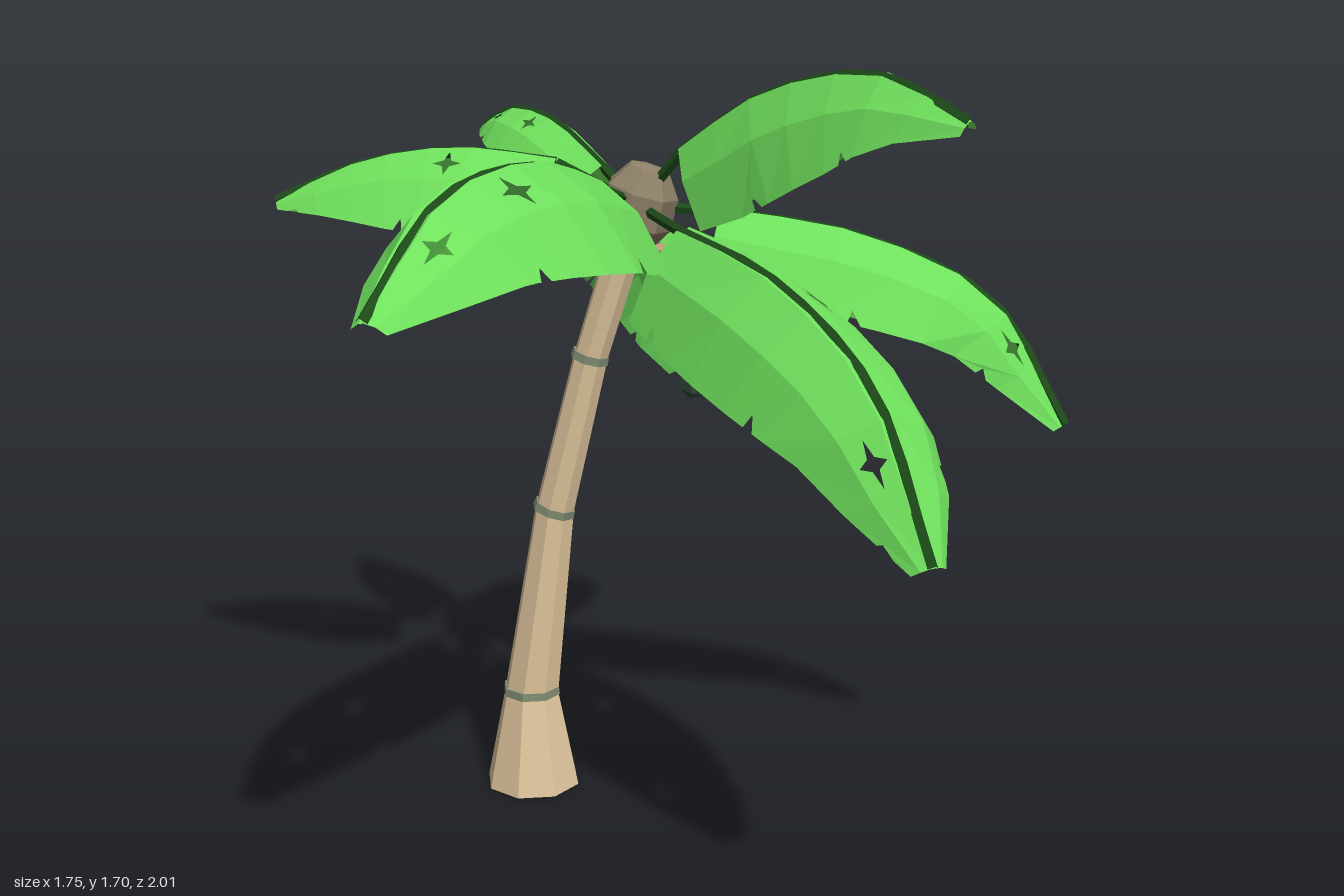
import * as THREE from 'three';
import { mergeGeometries } from 'three/addons/utils/BufferGeometryUtils.js';

const mat = (color, side = THREE.FrontSide) =>
  new THREE.MeshStandardMaterial({ color, side, flatShading: true });
const bark = mat(0xdfc59c), ringMat = mat(0x7d8a70), crownMat = mat(0x8f8168);
const leafMat = mat(0x6fe05c, THREE.DoubleSide), ribMat = mat(0x1c4a18);
const nutMat = mat(0x30453a), stemMat = mat(0xb8967a);
const V = (x, y, z) => new THREE.Vector3(x, y, z);
const UP = V(0, 1, 0);
const CROWN = V(-0.05, 1.385, -0.17);

function addMesh(parent, name, geometry, material) {
  const m = new THREE.Mesh(geometry, material);
  m.name = name;
  parent.add(m);
  return m;
}

// Leaning trunk: [height, centre x, radius]
const TRUNK = [[0, -0.31, 0.112], [0.23, -0.31, 0.065], [0.68, -0.248, 0.046], [1.04, -0.16, 0.04], [1.36, -0.06, 0.042]];

function trunkGeometry() {
  const profile = [new THREE.Vector2(0, 0), ...TRUNK.map(([y, , r]) => new THREE.Vector2(r, y)), new THREE.Vector2(0, 1.36)];
  const g = new THREE.LatheGeometry(profile, 8);
  const p = g.attributes.position;
  for (let i = 0; i < p.count; i++) {
    const row = TRUNK.find(([y]) => Math.abs(y - p.getY(i)) < 1e-4);
    p.setX(i, p.getX(i) + row[1]);
    p.setZ(i, p.getZ(i) + CROWN.z);
  }
  g.computeVertexNormals();
  return g;
}

// Shape of one blade panel in unit coordinates, with an optional edge tear or star hole
function panelShape(tear, hole) {
  const pts = [[0, 0]];
  if (tear === 'low') pts.push([0.5, 0], [0.52, 0.25], [0.75, 0]);
  pts.push([1, 0], [1, 1]);
  if (tear === 'high') pts.push([0.75, 1], [0.52, 0.75], [0.5, 1]);
  pts.push([0, 1]);
  const shape = new THREE.Shape(pts.map(([x, y]) => new THREE.Vector2(x, y)));
  if (hole) {
    const star = [];
    for (let k = 0; k < 8; k++) {
      const r = k % 2 ? 0.13 : 0.36, a = -k * Math.PI / 4;
      star.push(new THREE.Vector2(0.5 + r * Math.cos(a), 0.5 + r * Math.sin(a)));
    }
    shape.holes.push(new THREE.Path(star));
  }
  return shape;
}

// Blade outline along its length, and its section: vaulted, with the rib in a shallow groove
const WIDTH = [0.78, 0.92, 1, 1, 0.94, 0.82, 0.6, 0.2];
const DROP = [0.85, 0.98, 1, 0.95, 0.85, 0.68, 0.42, 0.12];
const ACROSS = [[-1, 1], [-0.62, 0.34], [-0.12, -0.05], [0, 0], [0.12, -0.05], [0.62, 0.34], [1, 1]];

function bladeGeometry(curve, { half, drop, roll }, seed) {
  const rows = WIDTH.map((w, i) => {
    const t = i / (WIDTH.length - 1);
    const c = curve.getPointAt(t), T = curve.getTangentAt(t);
    const side = UP.clone().cross(T).normalize().applyAxisAngle(T, roll);
    const normal = T.clone().cross(side);
    return ACROSS.map(([s, d]) => c.clone().addScaledVector(side, s * w * half).addScaledVector(normal, -d * DROP[i] * drop));
  });
  const panels = [];
  for (let i = 0; i < rows.length - 1; i++) {
    for (let j = 0; j < 6; j++) {
      const torn = (i + (j ? 1 : 0) + seed) % 3 === 0;
      const tear = torn && j === 0 ? 'low' : torn && j === 5 ? 'high' : '';
      const hole = (i === 2 + seed % 2 && j === 4) || (i === 5 && j === (seed % 2 ? 4 : 1));
      const g = new THREE.ShapeGeometry(panelShape(tear, hole));
      const p = g.attributes.position;
      for (let k = 0; k < p.count; k++) {
        const a = p.getX(k), b = p.getY(k);
        const lo = rows[i][j].clone().lerp(rows[i + 1][j], a);
        const hi = rows[i][j + 1].clone().lerp(rows[i + 1][j + 1], a);
        const q = lo.lerp(hi, b);
        p.setXYZ(k, q.x, q.y, q.z);
      }
      panels.push(g.toNonIndexed());
    }
  }
  const merged = mergeGeometries(panels);
  merged.computeVertexNormals();
  return merged;
}

// Each leaf: midrib points, half width, side drop and roll about the rib
const LEAVES = [
  { name: 'backLeaf', pts: [[-0.09, 1.33, -0.32], [-0.095, 1.27, -0.57], [-0.12, 1.11, -0.81], [-0.16, 0.815, -1]], half: 0.155, drop: 0.17, roll: 0.25 },
  { name: 'frontLeaf', pts: [[-0.09, 1.45, 0.02], [-0.125, 1.53, 0.35], [-0.175, 1.51, 0.68], [-0.19, 1.36, 0.99]], half: 0.19, drop: 0.22, roll: 0.17 },
  { name: 'rightLeaf', pts: [[-0.23, 1.47, -0.165], [-0.46, 1.485, -0.165], [-0.68, 1.45, -0.15], [-0.87, 1.37, -0.11]], half: 0.13, drop: 0.19, roll: 0.2 },
  { name: 'backRightLeaf', pts: [[-0.15, 1.45, -0.255], [-0.3, 1.53, -0.375], [-0.43, 1.545, -0.475], [-0.535, 1.5, -0.565]], half: 0.105, drop: 0.12, roll: 0.1 },
  { name: 'backLeftLeaf', pts: [[0.12, 1.37, -0.22], [0.42, 1.32, -0.265], [0.7, 1.19, -0.295], [0.87, 0.94, -0.255]], half: 0.115, drop: 0.18, roll: -0.15 },
  { name: 'upperLeftLeaf', pts: [[0.06, 1.51, -0.125], [0.26, 1.64, -0.045], [0.5, 1.69, 0.065], [0.685, 1.62, 0.165]], half: 0.125, drop: 0.19, roll: 0.2 },
  { name: 'frontLeftLeaf', pts: [[0.1, 1.365, 0.03], [0.33, 1.31, 0.21], [0.56, 1.16, 0.42], [0.7, 0.885, 0.58]], half: 0.175, drop: 0.19, roll: 0.15 },
];

function makeLeaf(spec, seed) {
  const leaf = new THREE.Group();
  leaf.name = spec.name;
  const points = spec.pts.map((p) => V(...p));
  const curve = new THREE.CatmullRomCurve3(points);
  addMesh(leaf, spec.name + 'Blade', bladeGeometry(curve, spec, seed), leafMat);
  addMesh(leaf, spec.name + 'Rib', new THREE.TubeGeometry(curve, 10, 0.012, 4), ribMat);
  const stalk = new THREE.LineCurve3(CROWN, points[0]);
  addMesh(leaf, spec.name + 'Stalk', new THREE.TubeGeometry(stalk, 1, 0.012, 5), ribMat);
  return leaf;
}

export function createModel() {
  const tree = new THREE.Group();
  tree.name = 'palmTree';
  addMesh(tree, 'trunk', trunkGeometry(), bark);

  // Growth rings at the trunk joints
  TRUNK.slice(1, 4).forEach(([y, x, r], i) => {
    const ring = addMesh(tree, 'trunkRing' + (i + 1), new THREE.CylinderGeometry(r + 0.002, r + 0.004, 0.018, 8), ringMat);
    ring.position.set(x, y + 0.005, CROWN.z);
    ring.rotation.z = [0, -0.3, -0.27][i];
  });

  // Faceted crown on top of the trunk
  const profile = [[0, -0.085], [0.055, -0.085], [0.083, -0.035], [0.08, 0.035], [0.045, 0.085], [0, 0.09]];
  const crown = addMesh(tree, 'crown', new THREE.LatheGeometry(profile.map(([x, y]) => new THREE.Vector2(x, y)), 7), crownMat);
  crown.position.copy(CROWN);
  crown.rotation.z = -0.3;

  LEAVES.forEach((leaf, i) => tree.add(makeLeaf(leaf, i)));

  // Hanging fruit cluster
  const fruit = new THREE.Group();
  fruit.name = 'fruitCluster';
  const arm = new THREE.CatmullRomCurve3([V(-0.07, 1.27, -0.18), V(0.03, 1.28, -0.22), V(0.1, 1.22, -0.27), V(0.1, 1.08, -0.29)]);
  addMesh(fruit, 'fruitStem', new THREE.TubeGeometry(arm, 6, 0.018, 5), stemMat);
  [[0.04, 0.96, -0.32], [0.11, 1.01, -0.28], [0.07, 1.14, -0.33], [0.12, 1.14, -0.28]].forEach(([x, y, z], i) => {
    const nut = addMesh(fruit, 'fruit' + (i + 1), new THREE.IcosahedronGeometry(0.037, 0), nutMat);
    nut.position.set(x, y, z);
    nut.rotation.set(i, i * 0.7, 0.3);
    const twig = new THREE.LineCurve3(V(0.1, y + 0.1, -0.285), V(x, y, z));
    addMesh(fruit, 'fruitTwig' + (i + 1), new THREE.TubeGeometry(twig, 1, 0.006, 4), stemMat);
  });
  tree.add(fruit);
  return tree;
}
